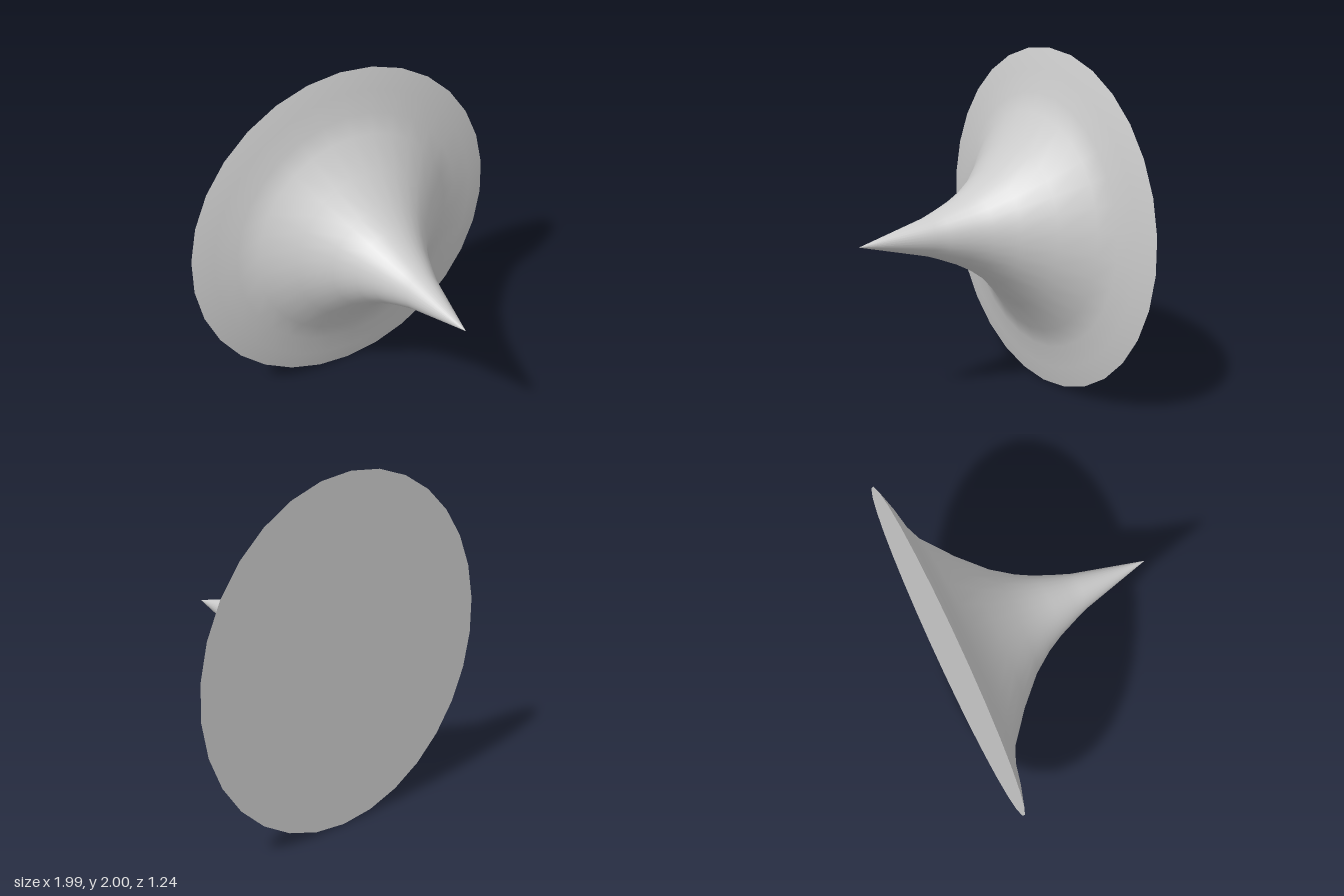
import * as THREE from 'three';

const SIDES = 30;

// Horn profile from the wide rim to the tip: [radius, z]
const PROFILE = [
  [1.0, -0.62], [0.88, -0.583], [0.75, -0.553], [0.64, -0.505], [0.47, -0.365],
  [0.325, -0.22], [0.24, -0.1], [0.187, 0], [0.138, 0.12], [0.108, 0.2], [0, 0.62],
];

export function createModel() {
  const group = new THREE.Group();
  group.name = 'flaredCone';
  const material = new THREE.MeshStandardMaterial({ color: 0xcccccc });

  const add = (name, geometry) => {
    const mesh = new THREE.Mesh(geometry, material);
    mesh.name = name;
    mesh.position.y = 1;
    group.add(mesh);
  };

  // Flared horn, turned so its tip points forward
  const points = PROFILE.map(([r, z]) => new THREE.Vector2(r, z));
  add('horn', new THREE.LatheGeometry(points, SIDES).rotateX(Math.PI / 2));

  // Flat disc closing the back
  const [rimRadius, rimZ] = PROFILE[0];
  add('backDisc', new THREE.CircleGeometry(rimRadius, SIDES, Math.PI / 2)
    .rotateY(Math.PI).translate(0, 0, rimZ));

  return group;
}
